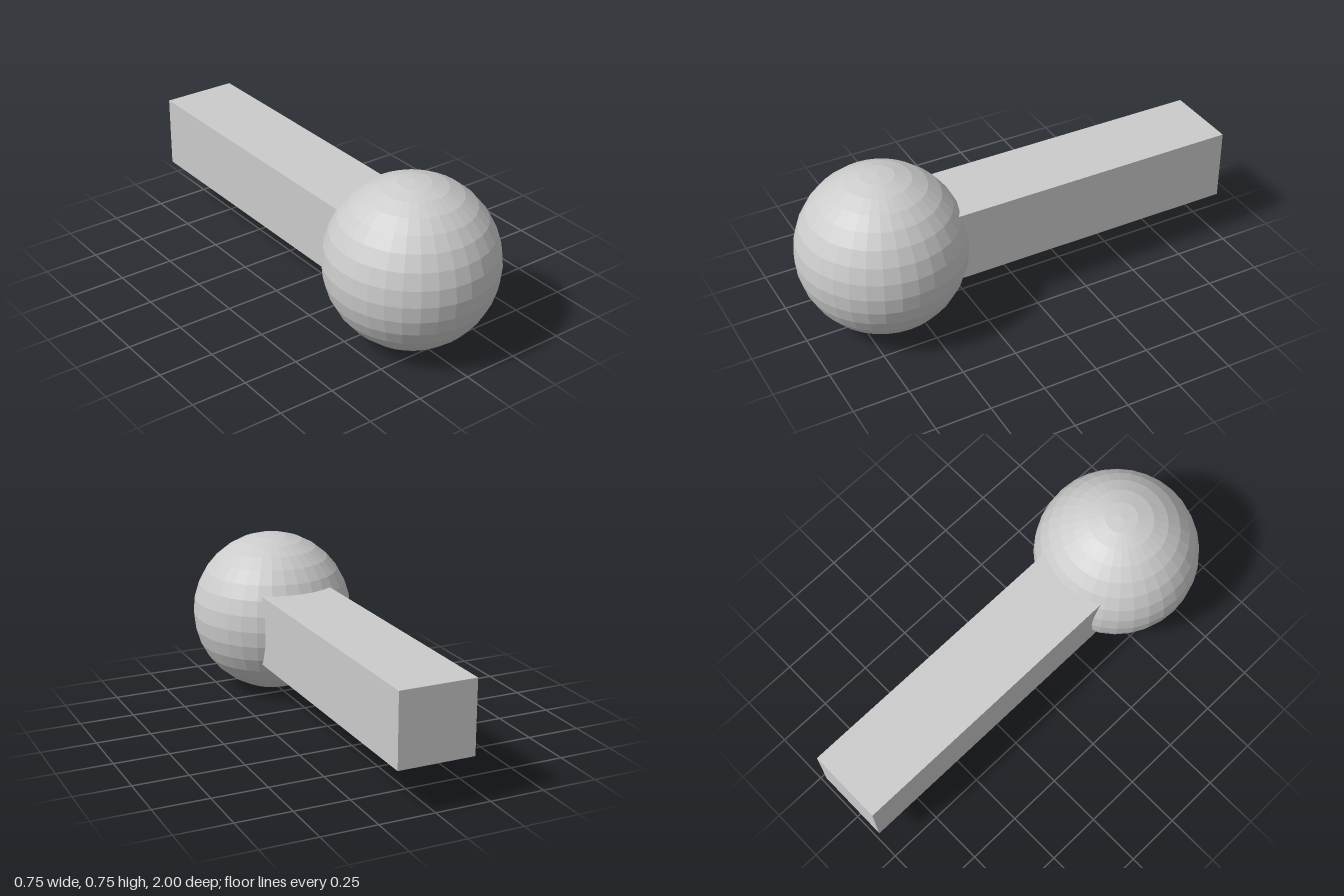
import * as THREE from 'three';

export function createModel() {
  const model = new THREE.Group();
  const material = new THREE.MeshStandardMaterial({ color: 0xcccccc, flatShading: true });

  const radius = 0.374;
  const backZ = -1;
  const headZ = 1 - radius;

  const addPart = (name, geometry, z) => {
    const mesh = new THREE.Mesh(geometry, material);
    mesh.name = name;
    mesh.position.set(0, radius, z);
    model.add(mesh);
  };

  // Faceted ball at the front
  addPart('ballHead', new THREE.SphereGeometry(radius, 32, 16), headZ);

  // Square bar running back from inside the ball
  const length = headZ - backZ;
  addPart('handle', new THREE.BoxGeometry(0.344, 0.328, length), backZ + length / 2);

  return model;
}
